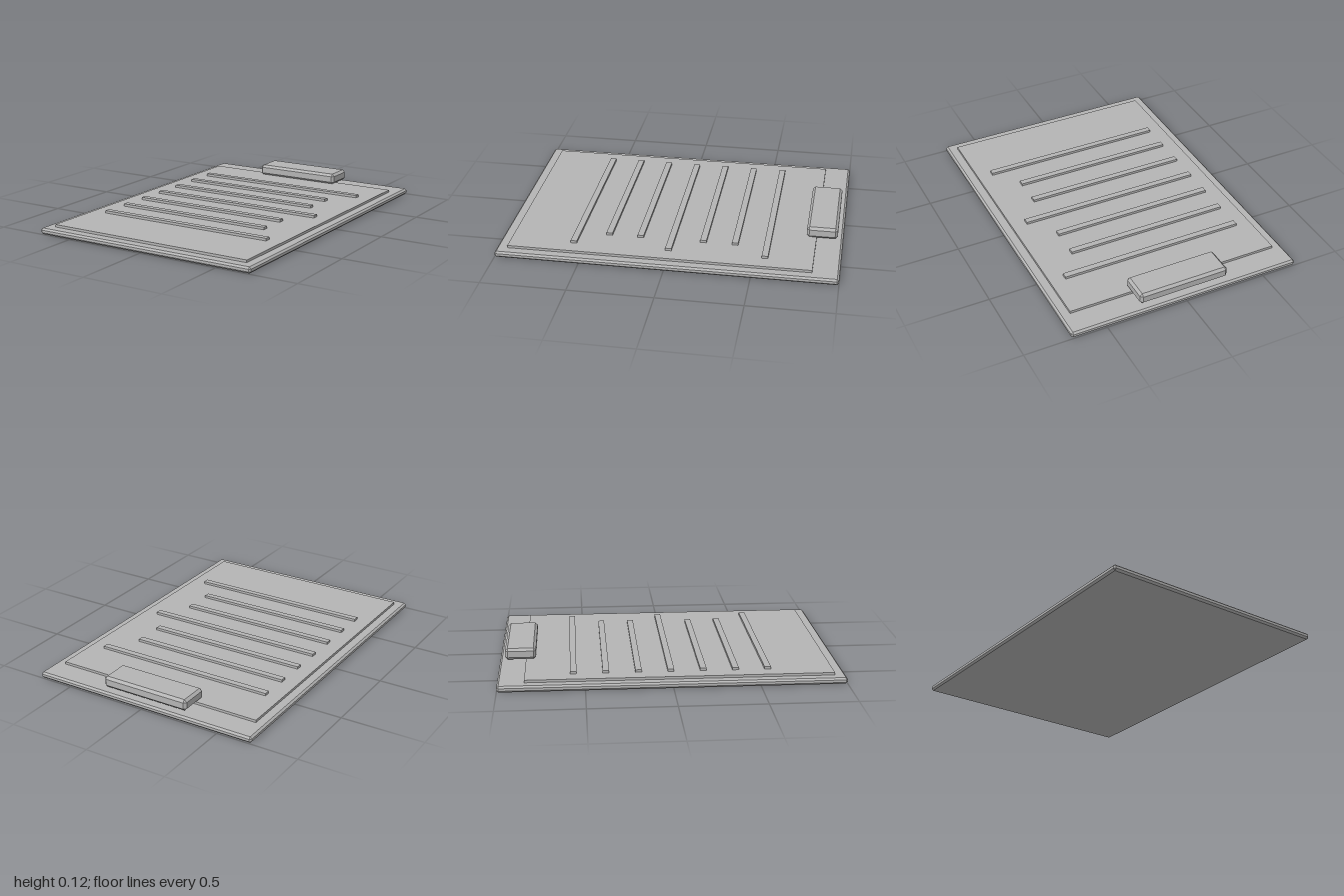
import * as THREE from 'three';
import { ConvexGeometry } from 'three/addons/geometries/ConvexGeometry.js';

// Box with every edge cut flat by c: each corner becomes three points
function chamferedBox(w, h, d, c) {
  const points = [];
  for (const x of [-1, 1]) for (const y of [-1, 1]) for (const z of [-1, 1]) {
    const [X, Y, Z] = [x * w / 2, y * h / 2, z * d / 2];
    points.push(
      new THREE.Vector3(X, Y - y * c, Z - z * c),
      new THREE.Vector3(X - x * c, Y, Z - z * c),
      new THREE.Vector3(X - x * c, Y - y * c, Z));
  }
  return new ConvexGeometry(points);
}

export function createModel() {
  const model = new THREE.Group();
  model.name = 'clipboard';
  const grey = new THREE.MeshStandardMaterial({ color: 0xb4b4b4 });
  grey.name = 'grey';

  function add(name, geometry, x, y, z) {
    const mesh = new THREE.Mesh(geometry, grey);
    mesh.name = name;
    mesh.position.set(x, y, z);
    model.add(mesh);
  }

  // Backing board and the sheet lying on it
  add('board', chamferedBox(1.43, 0.037, 2, 0.011), 0, 0.0185, 0);
  add('paper', new THREE.BoxGeometry(1.31, 0.015, 1.78), 0, 0.0445, 0.045);

  // Raised writing lines, every third one long, aligned on one side
  for (let i = 0; i < 7; i++) {
    const length = i % 3 === 0 ? 1.128 : 1.002;
    add('line' + (i + 1), new THREE.BoxGeometry(length, 0.015, 0.037),
      -0.564 + length / 2, 0.0595, -0.567 + i * 0.1875);
  }

  // Clip at the far edge
  add('clip', chamferedBox(0.556, 0.068, 0.183, 0.015), 0, 0.083, -0.877);

  return model;
}
